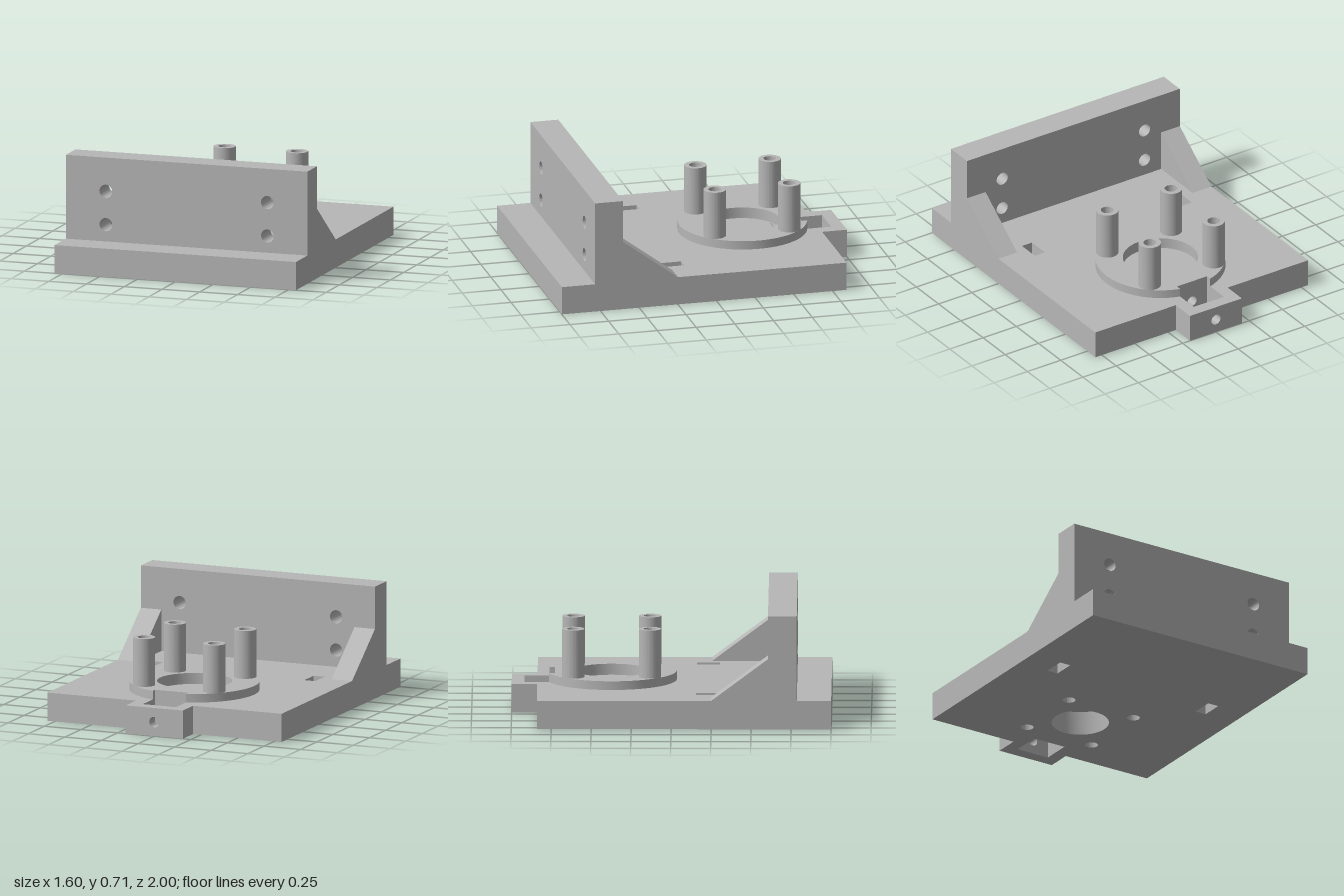
import * as THREE from 'three';
import { toCreasedNormals } from 'three/addons/utils/BufferGeometryUtils.js';

const HUB_Z = 0.375;  // hub centre, measured towards the back
const HUB_R = 0.235;  // hub opening
const POSTS = [[-0.24, 0.615], [0.24, 0.615], [-0.24, 0.135], [0.24, 0.135]];

export function createModel() {
  const model = new THREE.Group();
  const grey = new THREE.MeshStandardMaterial({ name: 'grey', color: 0xb6b6b6 });

  const add = (name, geometry) => {
    const mesh = new THREE.Mesh(geometry, grey);
    mesh.name = name;
    model.add(mesh);
    return mesh;
  };
  const polygon = (points) => new THREE.Shape(points.map(([x, y]) => new THREE.Vector2(x, y)));
  const rect = (x0, y0, x1, y1) => polygon([[x0, y0], [x1, y0], [x1, y1], [x0, y1]]);
  const circle = (x, y, r) => new THREE.Shape().absarc(x, y, r, 0, Math.PI * 2, false);
  const extrude = (shape, holes, depth) => {
    shape.holes.push(...holes);
    const g = new THREE.ExtrudeGeometry(shape, { depth, bevelEnabled: false, curveSegments: 32 });
    return toCreasedNormals(g, 0.6);
  };
  // Plan shapes use (x, -z) and are raised from y0 to y1
  const raise = (shape, holes, y0, y1) =>
    extrude(shape, holes, y1 - y0).rotateX(-Math.PI / 2).translate(0, y0, 0);
  const postHoles = () => POSTS.map(([x, y]) => circle(x, y, 0.04));

  // Base plate with two arms around the tab opening
  const plate = polygon([
    [-0.8, -1], [0.8, -1], [0.8, 0.84], [0.195, 0.84], [0.195, 1], [0.113, 1],
    [0.113, 0.62], [-0.113, 0.62], [-0.113, 1], [-0.195, 1], [-0.195, 0.84], [-0.8, 0.84],
  ]);
  const slots = [-1, 1].map((s) => rect(s * 0.5525 - 0.0375, -0.3, s * 0.5525 + 0.0375, -0.155));
  add('basePlate', raise(plate, [circle(0, HUB_Z, HUB_R), ...slots, ...postHoles()], 0, 0.18));

  // Drilled blocks on both sides of the square tab opening
  for (const [name, z0, z1] of [['tabEnd', -1, -0.92], ['tabInnerBlock', -0.73, -0.62]]) {
    const block = extrude(rect(-0.113, 0, 0.113, 0.18), [circle(0, 0.09, 0.034)], z1 - z0);
    add(name, block.translate(0, 0, z0));
  }

  // Raised hub ring, notched by the square opening
  const ringR = 0.407;
  const a = Math.acos(0.113 / ringR);
  const edge = HUB_Z + ringR * Math.sin(a);
  const ring = polygon([[0.113, edge], [0.113, 0.73], [-0.113, 0.73], [-0.113, edge]]);
  ring.absarc(0, HUB_Z, ringR, Math.PI - a, Math.PI * 2 + a, false);
  add('hubRing', raise(ring, [circle(0, HUB_Z, HUB_R), ...postHoles()], 0.18, 0.235));

  // Hub floor with a narrow slit, and the bore open from below
  const floor = circle(0, HUB_Z, HUB_R);
  floor.holes.push(rect(-0.09, 0.575, 0.09, 0.59));
  add('hubFloor', new THREE.ShapeGeometry(floor, 32).rotateX(-Math.PI / 2)).position.y = 0.165;
  const profile = [[HUB_R, 0], [0.18, 0], [0.18, 0.155], [0, 0.155]].map(([x, y]) => new THREE.Vector2(x, y));
  const bore = new THREE.LatheGeometry(profile.reverse(), 64).toNonIndexed();
  // Face the bore downwards and inwards
  const p = bore.attributes.position;
  const n = new THREE.Vector3(), tri = new THREE.Triangle();
  for (let i = 0; i < p.count; i += 3) {
    tri.setFromAttributeAndIndices(p, i, i + 1, i + 2).getNormal(n);
    const inward = n.y - 0 > 0.5 || n.x * tri.a.x + n.z * tri.a.z > 0.05;
    if (inward) {
      p.setXYZ(i + 1, tri.c.x, tri.c.y, tri.c.z);
      p.setXYZ(i + 2, tri.b.x, tri.b.y, tri.b.z);
    }
  }
  add('hubBore', toCreasedNormals(bore, 0.6)).position.z = -HUB_Z;

  // Hollow standoff posts
  for (const [x, y] of POSTS) {
    add('post', raise(circle(x, y, 0.07), [circle(x, y, 0.04)], 0.235, 0.54));
  }

  // Upright wall with four bolt holes
  const bolts = [];
  for (const x of [-0.535, 0.535]) for (const y of [0.287, 0.5]) bolts.push(circle(x, y, 0.042));
  add('uprightWall', extrude(rect(-0.8, 0.18, 0.8, 0.715), bolts, 0.18).translate(0, 0, 0.605));

  // Triangular gussets behind the wall
  for (const x of [-0.8, 0.66]) {
    const gusset = extrude(polygon([[-0.605, 0.18], [-0.25, 0.18], [-0.605, 0.445]]), [], 0.14);
    add('gusset', gusset.rotateY(Math.PI / 2).translate(x, 0, 0));
  }

  return model;
}
